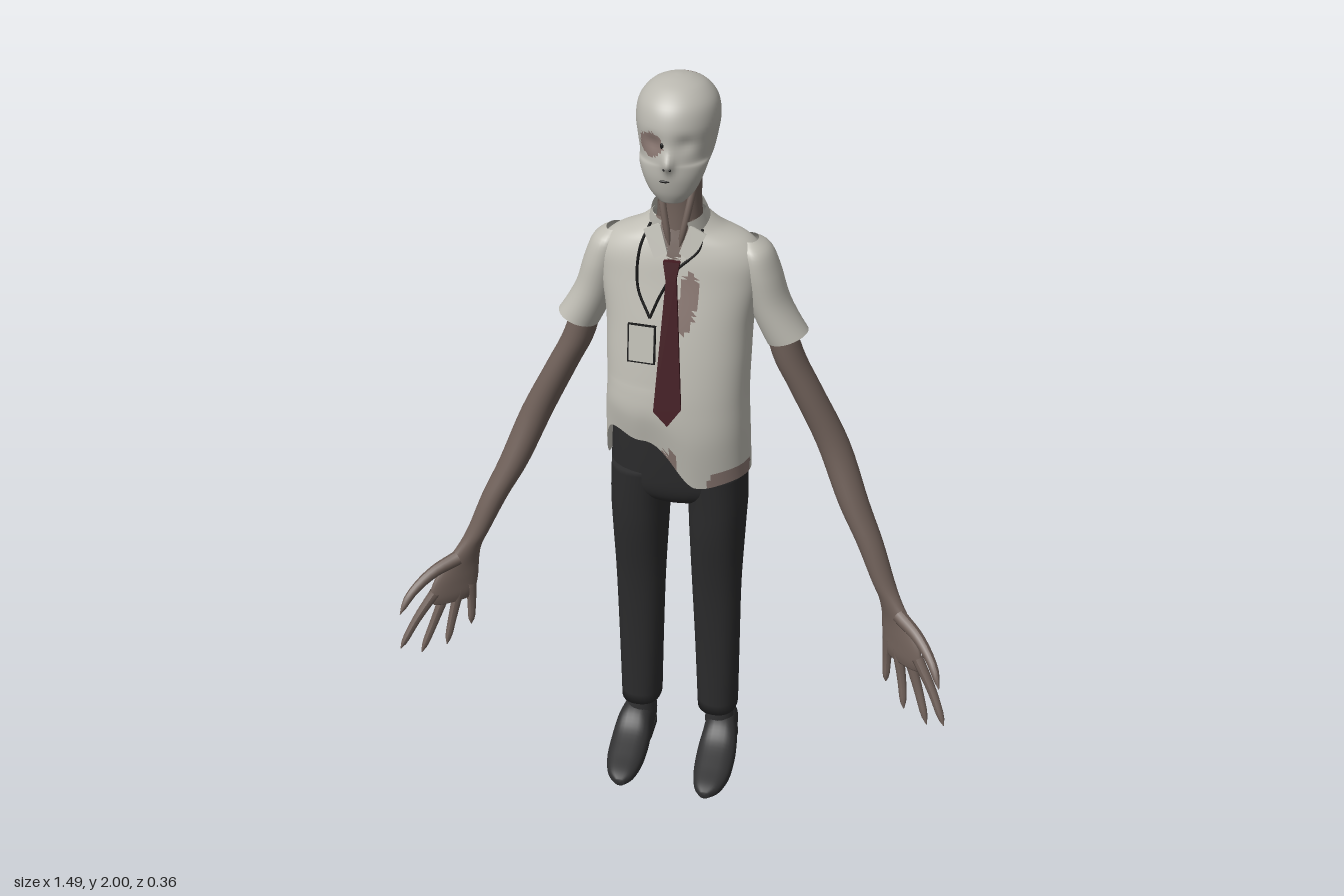
import * as THREE from 'three';

const mat = (name, color) => new THREE.MeshStandardMaterial({ name, color, side: THREE.DoubleSide });
const M = {
  shirt: mat('shirtCloth', 0xc0beb5),
  mask: mat('paleHead', 0xb9b7af),
  skin: mat('skin', 0x6f6059),
  stain: mat('stain', 0x887670),
  trousers: mat('trouserCloth', 0x2b2b2c),
  shoe: mat('shoeLeather', 0x303031),
  tie: mat('tieCloth', 0x421a20),
  black: mat('black', 0x161616),
};

// row = [height, centreX, centreZ, halfWidth, halfDepth, roundness, skew]
const row = (y, cx, cz, rx, rz, p = 2, k = 0) => [y, cx, cz, rx, rz, p, k];
const fb = (y, hw, front, back, p = 2) => row(y, 0, (front + back) / 2, hw, (front - back) / 2, p);

// Smoothly interpolates rows
function sample(rows, steps) {
  const r = rows[0][0] > rows[rows.length - 1][0] ? [...rows].reverse() : rows;
  const out = [];
  for (let i = 0; i < r.length - 1; i++) {
    const a = r[Math.max(i - 1, 0)], b = r[i], c = r[i + 1], d = r[Math.min(i + 2, r.length - 1)];
    for (let s = 0; s < steps; s++) {
      const t = s / steps, t2 = t * t, t3 = t2 * t;
      out.push(b.map((v, n) => (2 * t3 - 3 * t2 + 1) * v + (t3 - 2 * t2 + t) * (c[n] - a[n]) / 2
        + (3 * t2 - 2 * t3) * c[n] + (t3 - t2) * (d[n] - b[n]) / 2));
    }
  }
  out.push(r[r.length - 1]);
  return out;
}

// Skin through superellipse cross-sections; bend(v) may move each vertex
function loft(rows, { segs = 28, steps = 5, capped = true, bend } = {}) {
  const rings = sample(rows, steps), pos = [], idx = [], v = new THREE.Vector3();
  const push = (x, y, z) => { v.set(x, y, z); if (bend) bend(v); pos.push(v.x, v.y, v.z); };
  const pw = (t, p) => Math.sign(t) * Math.abs(t) ** (2 / p);
  for (const [y, cx, cz, rx, rz, p, k] of rings) for (let j = 0; j < segs; j++) {
    const a = j / segs * Math.PI * 2, dx = rx * pw(Math.sin(a), p);
    push(cx + dx, y, cz + rz * pw(Math.cos(a), p) + k * dx);
  }
  const last = (rings.length - 1) * segs;
  for (let i = 0; i < rings.length - 1; i++) for (let j = 0; j < segs; j++) {
    const a = i * segs + j, b = i * segs + (j + 1) % segs;
    idx.push(a, b, a + segs, b, b + segs, a + segs);
  }
  if (capped) {
    const n = pos.length / 3, e = rings[rings.length - 1];
    push(rings[0][1], rings[0][0], rings[0][2]);
    push(e[1], e[0], e[2]);
    for (let j = 0; j < segs; j++) {
      const k = (j + 1) % segs;
      idx.push(n, k, j, n + 1, last + j, last + k);
    }
  }
  const g = new THREE.BufferGeometry();
  g.setAttribute('position', new THREE.Float32BufferAttribute(pos, 3));
  g.setIndex(idx);
  g.computeVertexNormals();
  return g;
}

// Sorts faces into material groups by a rule on their centre
function paint(g, count, rule) {
  const p = g.attributes.position, src = g.index.array, bins = Array.from({ length: count }, () => []);
  for (let i = 0; i < src.length; i += 3) {
    const f = [src[i], src[i + 1], src[i + 2]];
    const m = fn => f.reduce((s, n) => s + fn(n), 0) / 3;
    bins[rule(m(n => p.getX(n)), m(n => p.getY(n)), m(n => p.getZ(n)))].push(...f);
  }
  g.setIndex(bins.flat());
  let start = 0;
  bins.forEach((b, n) => { g.addGroup(start, b.length, n); start += b.length; });
  return g;
}

// Tapered round tube along points
function taper(points, r0, r1) {
  const curve = new THREE.CatmullRomCurve3(points.map(q => new THREE.Vector3(...q)));
  const n = 10, g = new THREE.TubeGeometry(curve, n, 1, 10), p = g.attributes.position;
  const v = new THREE.Vector3();
  for (let i = 0; i < p.count; i++) {
    const t = Math.floor(i / 11) / n, c = curve.getPointAt(t);
    const r = t === 1 ? 0.001 : t > 0.85 ? r1 * 0.85 : r0 + (r1 - r0) * t;
    v.fromBufferAttribute(p, i).sub(c).multiplyScalar(r).add(c);
    p.setXYZ(i, v.x, v.y, v.z);
  }
  g.computeVertexNormals();
  return g;
}

// Flat outline laid at depth z(x, y)
function plate(points, z, depth = 0.005) {
  const s = new THREE.Shape(points.map(q => new THREE.Vector2(...q)));
  const g = new THREE.ExtrudeGeometry(s, { depth, bevelEnabled: false }), p = g.attributes.position;
  for (let i = 0; i < p.count; i++) p.setZ(i, p.getZ(i) + z(p.getX(i), p.getY(i)));
  g.computeVertexNormals();
  return g;
}

const gauss = (t, w) => Math.exp(-(t * t) / (w * w));
const oval = (a, b, ra, rb) => (a / ra) ** 2 + (b / rb) ** 2 < 1;
const smooth = THREE.MathUtils.smoothstep;

export function createModel() {
  const root = new THREE.Group();
  const add = (name, g, m, parent = root) => {
    const mesh = new THREE.Mesh(g, m);
    mesh.name = name;
    parent.add(mesh);
    return mesh;
  };

  // Head with nose and eye hollows, bare patches at one eye and the crown
  const head = loft([
    fb(1.73, 0.03, 0.062, 0.012), fb(1.755, 0.053, 0.074, -0.01), fb(1.79, 0.07, 0.082, -0.03),
    fb(1.82, 0.08, 0.083, -0.06), fb(1.835, 0.084, 0.082, -0.125), fb(1.87, 0.091, 0.08, -0.145),
    fb(1.91, 0.096, 0.078, -0.15), fb(1.95, 0.089, 0.063, -0.14), fb(1.98, 0.065, 0.03, -0.112),
    fb(1.995, 0.034, -0.005, -0.078), fb(2.0, 0.006, -0.035, -0.05),
  ], { segs: 72, bend: v => {
    if (v.z < 0) return;
    v.z += 0.017 * gauss(v.x, 0.012) * gauss(v.y - 1.833, 0.02);
    v.z -= 0.008 * gauss(Math.abs(v.x) - 0.037, 0.02) * gauss(v.y - 1.875, 0.018);
  } });
  add('head', paint(head, 2, (x, y, z) =>
    (z > 0 && oval(x + 0.042, y - 1.87, 0.03, 0.028)) ||
    (y > 1.925 && oval(x - 0.005, z + 0.115, 0.065, 0.037)) ? 1 : 0), [M.mask, M.stain]);
  const dot = (name, x, y, z, sx, sy) =>
    add(name, new THREE.SphereGeometry(1, 10, 8).scale(sx, sy, 0.003).translate(x, y, z), M.black);
  dot('mouth', -0.008, 1.79, 0.082, 0.012, 0.003);
  for (const s of [-1, 1]) dot('nostril', s * 0.007, 1.822, 0.092, 0.003, 0.003);
  dot('eye', -0.014, 1.872, 0.076, 0.005, 0.007);

  // Neck with tendons
  add('neck', loft([row(1.54, 0, -0.055, 0.065, 0.07), row(1.62, 0, -0.052, 0.058, 0.056),
    row(1.7, 0, -0.05, 0.052, 0.048), row(1.78, 0, -0.048, 0.055, 0.05), row(1.85, 0, -0.055, 0.062, 0.06)]), M.skin);
  for (const s of [-1, 1])
    add('neckTendon', taper([[s * 0.048, 1.8, -0.04], [s * 0.032, 1.7, -0.006], [s * 0.012, 1.6, 0.012]], 0.009, 0.008), M.skin);

  // Shirt body with torn hem, spine groove, open neck and stains
  const shirtRows = [
    fb(0.97, 0.186, 0.073, -0.175, 2.4), fb(1.1, 0.182, 0.088, -0.166, 2.4), fb(1.2, 0.178, 0.086, -0.162, 2.4),
    fb(1.3, 0.179, 0.075, -0.166, 2.4), fb(1.4, 0.182, 0.058, -0.172, 2.4), fb(1.5, 0.197, 0.036, -0.172, 2.4),
    fb(1.56, 0.2, 0.024, -0.165, 2.3), fb(1.6, 0.168, 0.013, -0.155, 2.2), fb(1.63, 0.105, 0.004, -0.142),
    fb(1.66, 0.068, -0.005, -0.122),
  ];
  const rings = sample(shirtRows, 12);
  const shirtZ = (x, y) => {
    const [, , cz, rx, rz, p] = rings.reduce((b, r) => Math.abs(r[0] - y) < Math.abs(b[0] - y) ? r : b);
    return cz + rz * Math.max(0, 1 - Math.abs(x / rx) ** p) ** (1 / p);
  };
  const hem = (x, z) => 0.972 + 0.008 * Math.sin(x * 40 + z * 25)
    + 0.125 * smooth(z, -0.06, 0.03) * (1 - smooth(x, -0.07, 0.07));
  const shirt = loft(shirtRows, { segs: 96, steps: 8, capped: false, bend: v => {
    if (v.z < -0.1) v.z += 0.009 * gauss(v.x, 0.03) * smooth(v.y, 1.05, 1.2) * (1 - smooth(v.y, 1.5, 1.6));
    if (v.y < 1.25) v.y = 1.25 - (1.25 - v.y) * (1.25 - hem(v.x, v.z)) / 0.28;
  } });
  add('shirtBody', paint(shirt, 3, (x, y, z) => {
    if (z > -0.03 && y > 1.565 && Math.abs(x) < (y - 1.555) * 0.5) return 1;
    if (z > 0 && oval(x - 0.036 - 0.1 * (y - 1.47), y - 1.47, 0.024, 0.075)) return 2;
    if (z > -0.04 && oval(x - 0.15, y - 0.975, 0.055, 0.045)) return 2;
    return z > 0 && oval(x, y - 1.045, 0.018, 0.03) ? 2 : 0;
  }), [M.shirt, M.skin, M.stain]);

  // Collar band and wings
  const band = new THREE.CylinderGeometry(0.064, 0.078, 0.055, 40, 1, true, 0.5, Math.PI * 2 - 1);
  add('collar', band.scale(1, 1, 0.95).rotateX(0.38).translate(0, 1.658, -0.047), M.shirt);
  for (const s of [-1, 1])
    add('collarWing', plate([[s * 0.036, 1.655], [s * 0.014, 1.59], [s * 0.045, 1.572], [s * 0.075, 1.635]],
      (x, y) => 0.022 - (y - 1.6) * 0.25 - Math.abs(x) * 0.12), M.shirt);

  // Tie
  const tieZ = (x, y) => 0.034 + (1.57 - y) * 0.17;
  add('tie', plate([[-0.012, 1.54], [0.012, 1.54], [0.035, 1.21], [0.003, 1.165], [-0.033, 1.2]], tieZ, 0.009), M.tie);
  add('tieKnot', plate([[-0.02, 1.575], [0.02, 1.575], [0.012, 1.53], [-0.012, 1.53]], tieZ, 0.014), M.tie);

  // Lanyard and badge
  const cord = pts => new THREE.TubeGeometry(new THREE.CatmullRomCurve3(
    pts.map(([x, y]) => new THREE.Vector3(x, y, shirtZ(x, y) + 0.008))), 24, 0.0035, 6);
  add('lanyard', cord([[-0.062, 1.645], [-0.082, 1.59], [-0.083, 1.5], [-0.05, 1.43]]), M.black);
  add('lanyard', cord([[0.062, 1.64], [0.06, 1.6], [0.01, 1.55], [-0.025, 1.49], [-0.05, 1.43]]), M.black);
  const badge = new THREE.Group();
  badge.name = 'badge';
  badge.position.set(-0.067, 1.367, 0.074);
  badge.rotation.set(-0.15, -0.1, 0);
  root.add(badge);
  add('badgeEdge', new THREE.BoxGeometry(0.07, 0.098, 0.005), M.black, badge);
  add('badgeCard', new THREE.BoxGeometry(0.062, 0.09, 0.008), M.shirt, badge);

  // Trouser seat
  add('trouserSeat', loft([fb(1.12, 0.166, 0.06, -0.145, 2.3), fb(1.0, 0.175, 0.058, -0.166, 2.4),
    fb(0.93, 0.174, 0.052, -0.163, 2.4), fb(0.89, 0.14, 0.03, -0.14), fb(0.865, 0.06, -0.01, -0.09)], { segs: 40 }), M.trousers);

  for (const s of [-1, 1]) {
    const limb = (name, rows, m, opt) =>
      add(name, loft(rows.map(([y, x, z, a, b, p, k]) => row(y, x * s, z, a, b, p, (k || 0) * s)), opt), m);

    // Sleeve
    limb('sleeve', [[1.6, 0.165, -0.075, 0.02, 0.03], [1.575, 0.178, -0.076, 0.04, 0.058], [1.52, 0.192, -0.078, 0.05, 0.066],
      [1.44, 0.217, -0.08, 0.05, 0.062], [1.34, 0.263, -0.08, 0.05, 0.057]], M.shirt,
    { capped: false, bend: v => { if (v.y < 1.5) v.y += (Math.abs(v.x) - 0.24) * 0.35 * (1.5 - v.y) / 0.16; } });

    // Arm running into the palm
    limb('arm', [[1.44, 0.225, -0.08, 0.034, 0.04], [1.3, 0.264, -0.085, 0.04, 0.045], [1.2, 0.313, -0.088, 0.041, 0.044],
      [1.05, 0.388, -0.09, 0.043, 0.043], [0.9, 0.452, -0.06, 0.04, 0.042], [0.8, 0.503, -0.034, 0.035, 0.036],
      [0.7, 0.547, -0.01, 0.03, 0.029], [0.65, 0.572, 0.005, 0.031, 0.024, 2, 0.3], [0.6, 0.595, 0.02, 0.043, 0.021, 2, 0.6],
      [0.55, 0.61, 0.034, 0.053, 0.021, 2, 0.7], [0.51, 0.617, 0.044, 0.053, 0.018, 2, 0.7],
      [0.485, 0.62, 0.048, 0.042, 0.012, 2, 0.7]].map(r => [...r, ...[2, 0].slice(r.length - 5)]), M.skin);

    // Fingers and thumb
    const digits = {
      littleFinger: [[0.575, 0.53, 0.012], [0.577, 0.46, 0.012], [0.58, 0.39, 0.022]],
      ringFinger: [[0.602, 0.52, 0.032], [0.622, 0.43, 0.05], [0.636, 0.35, 0.076]],
      middleFinger: [[0.632, 0.52, 0.052], [0.669, 0.42, 0.075], [0.7, 0.335, 0.108]],
      indexFinger: [[0.658, 0.525, 0.074], [0.705, 0.45, 0.108], [0.745, 0.37, 0.145]],
      thumb: [[0.6, 0.62, 0.03], [0.655, 0.6, 0.085], [0.7, 0.56, 0.14], [0.722, 0.515, 0.175]],
    };
    for (const [name, pts] of Object.entries(digits))
      add(name, taper(pts.map(([x, y, z]) => [x * s, y, z]), name === 'thumb' ? 0.02 : 0.015, 0.009), M.skin);

    // Trouser leg
    limb('trouserLeg', [[0.98, 0.093, -0.054, 0.082, 0.106, 2.3], [0.88, 0.102, -0.055, 0.077, 0.102, 2.3],
      [0.78, 0.103, -0.05, 0.073, 0.09, 2.3], [0.6, 0.104, -0.046, 0.066, 0.063, 2.3], [0.4, 0.107, -0.054, 0.061, 0.06, 2.3],
      [0.165, 0.11, -0.063, 0.056, 0.067, 2.3]], M.trousers);

    // Ankle and shoe
    add('ankle', new THREE.CylinderGeometry(0.034, 0.032, 0.12, 20).translate(s * 0.112, 0.15, -0.065), M.skin);
    add('sock', new THREE.CylinderGeometry(0.038, 0.042, 0.05, 20).translate(s * 0.115, 0.12, -0.065), M.shoe);
    const up = (z, hw, lo, hi, x = 0.125) => row(z, s * x, -(lo + hi) / 2, hw, (hi - lo) / 2, 2.7);
    add('shoe', loft([up(-0.13, 0.032, 0.012, 0.08, 0.12), up(-0.118, 0.04, 0, 0.118, 0.12), up(-0.06, 0.046, 0, 0.128, 0.122),
      up(-0.02, 0.05, 0.003, 0.118), up(0.03, 0.054, 0.006, 0.086), up(0.1, 0.051, 0.004, 0.064),
      up(0.155, 0.036, 0.01, 0.05, 0.123), up(0.183, 0.012, 0.018, 0.038, 0.12)]).rotateX(Math.PI / 2), M.shoe);
    add('shoeHeel', new THREE.BoxGeometry(0.08, 0.022, 0.085).translate(s * 0.121, 0.011, -0.078), M.shoe);
  }
  return root;
}
